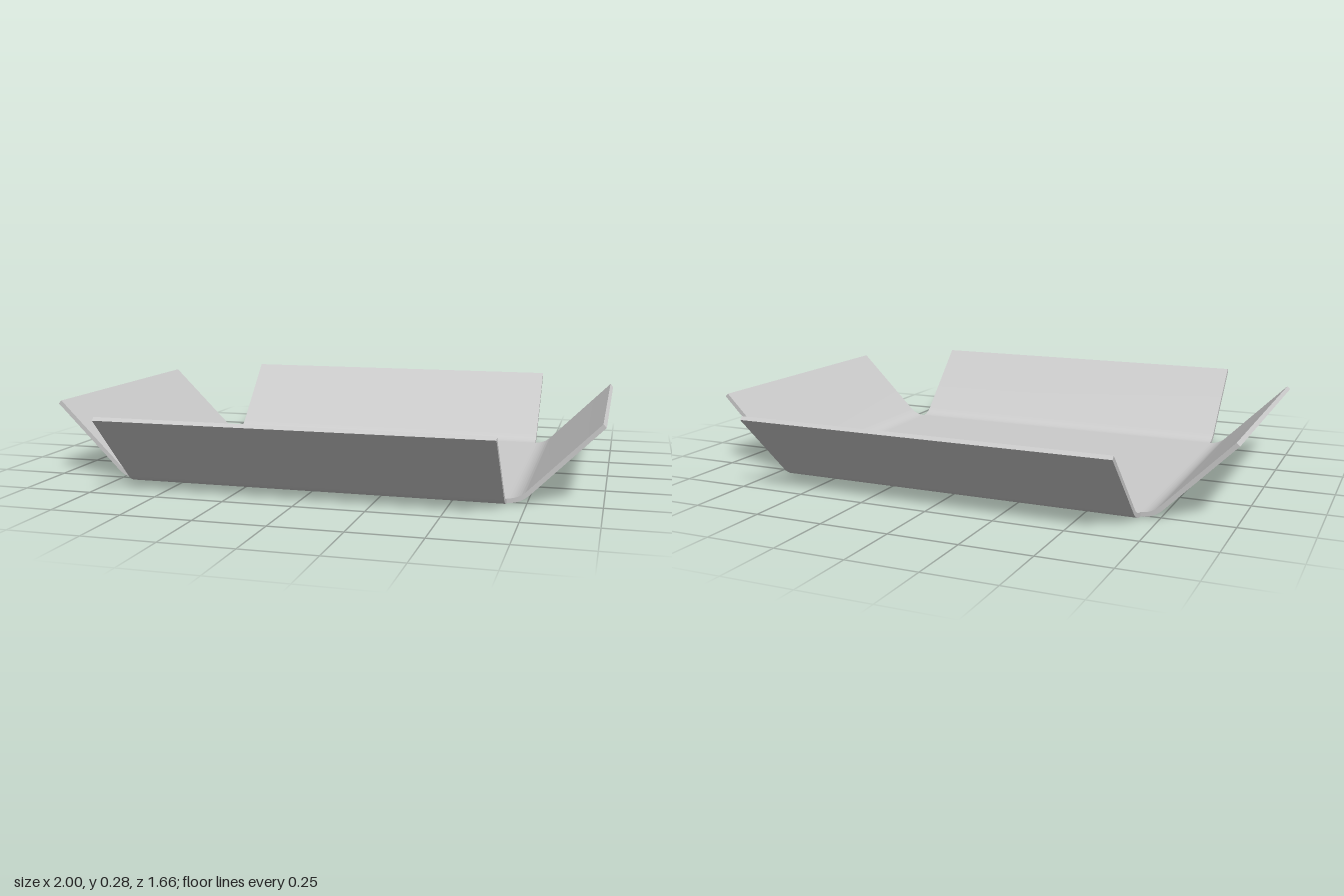
import * as THREE from 'three';
import { toCreasedNormals } from 'three/addons/utils/BufferGeometryUtils.js';

const HALF_X = 0.683, HALF_Z = 0.513; // flat base half sizes
const T = 0.016;                      // sheet thickness
const R = 0.109;                      // outer bend radius
const REACH = 0.317;                  // horizontal reach of each flange

// Bent flange: a 45 degree bend followed by a straight lip, extruded along the edge
function flangeGeometry(width) {
  const s = Math.SQRT1_2;
  const tipY = R * (1 - s) + (REACH - R * s);
  const shape = new THREE.Shape();
  shape.moveTo(0, 0);
  shape.absarc(0, R, R, -Math.PI / 2, -Math.PI / 4, false);
  shape.lineTo(REACH, tipY);
  shape.lineTo(REACH - T * s, tipY + T * s);
  shape.absarc(0, R, R - T, -Math.PI / 4, -Math.PI / 2, true);
  shape.closePath();
  const geo = new THREE.ExtrudeGeometry(shape, { depth: width, bevelEnabled: false, curveSegments: 12 });
  geo.translate(0, 0, -width / 2);
  return toCreasedNormals(geo, Math.PI / 6);
}

export function createModel() {
  const group = new THREE.Group();
  group.name = 'foldedTray';
  const material = new THREE.MeshStandardMaterial({ color: 0xcccccc });

  // Flat base sheet
  const base = new THREE.Mesh(new THREE.BoxGeometry(HALF_X * 2, T, HALF_Z * 2), material);
  base.name = 'basePlate';
  base.position.y = T / 2;
  group.add(base);

  // Four flanges, one per edge, leaving the corners open
  ['leftFlange', 'backFlange', 'rightFlange', 'frontFlange'].forEach((name, i) => {
    const onSide = i % 2 === 0;
    const angle = i * Math.PI / 2;
    const offset = onSide ? HALF_X : HALF_Z;
    const flange = new THREE.Mesh(flangeGeometry(2 * (onSide ? HALF_Z : HALF_X)), material);
    flange.name = name;
    flange.rotation.y = angle;
    flange.position.set(Math.cos(angle) * offset, 0, -Math.sin(angle) * offset);
    group.add(flange);
  });

  return group;
}
